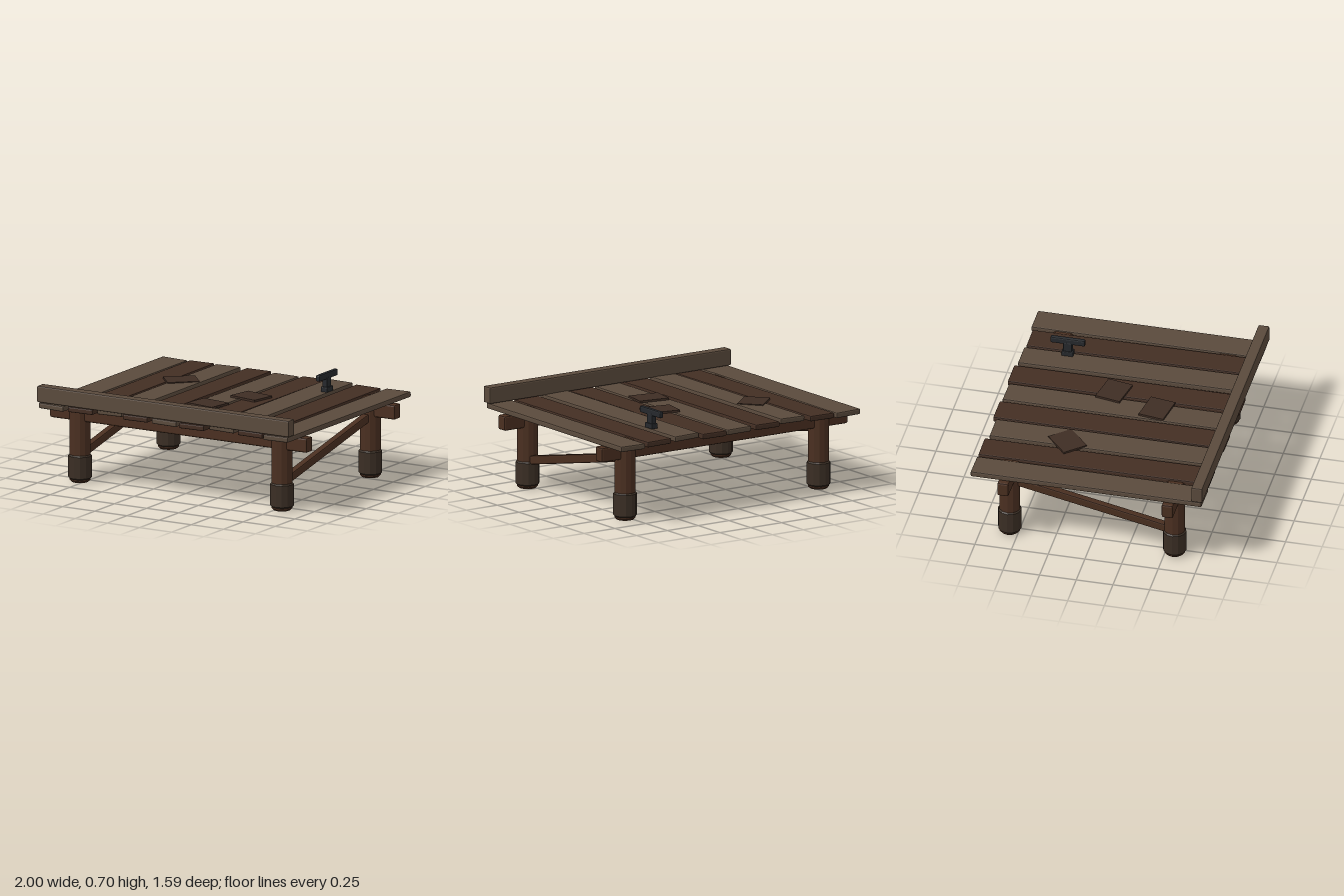
import * as THREE from 'three';
import { RoundedBoxGeometry } from 'three/addons/geometries/RoundedBoxGeometry.js';

const paint = (color) => new THREE.MeshStandardMaterial({ color, flatShading: true });
const lightWood = paint(0x5a4a3c);
const darkWood = paint(0x432e23);
const postWood = paint(0x4a2f20);
const wetWood = paint(0x3a2e24);
const patchWood = paint(0x3e2d24);
const iron = paint(0x25282c);

export function createModel() {
  const dock = new THREE.Group();
  dock.name = 'dock';

  const add = (name, geometry, material, x, y, z) => {
    const mesh = new THREE.Mesh(geometry, material);
    mesh.name = name;
    mesh.position.set(x, y, z);
    dock.add(mesh);
    return mesh;
  };
  // box with a narrow chamfer on every edge
  const block = (w, h, d, bevel = 0.009) => new RoundedBoxGeometry(w, h, d, 1, bevel);
  // faceted upright cylinder with chamfered ends
  const log = (r, y0, y1, c) => new THREE.LatheGeometry([
    [0, y0], [r - c, y0], [r, y0 + c], [r, y1 - c], [r - c, y1], [0, y1],
  ].map(([x, y]) => new THREE.Vector2(x, y)), 12);

  // deck planks: x, height of centre, half length, yaw, roll
  const planks = [
    [-0.873, 0.537, 0.788, -0.003, -0.02],
    [-0.655, 0.54, 0.785, 0.006, 0.01],
    [-0.437, 0.547, 0.76, 0, 0.02],
    [-0.219, 0.541, 0.787, -0.003, 0.01],
    [0, 0.537, 0.775, -0.006, -0.01],
    [0.217, 0.538, 0.79, 0, 0.01],
    [0.434, 0.548, 0.77, 0.008, -0.02],
    [0.653, 0.538, 0.765, 0.007, -0.01],
    [0.87, 0.537, 0.782, -0.003, 0.015],
  ];
  planks.forEach(([x, y, half, yaw, roll], i) => {
    const plank = add('plank', block(0.194, 0.038, half * 2), i % 2 ? darkWood : lightWood, x, y, 0);
    plank.rotation.set(0, yaw, roll);
  });

  // raised kerb along the front edge
  add('kerb', block(1.96, 0.112, 0.076), lightWood, 0, 0.617, 0.757);

  // cross beams under the deck
  for (const z of [-0.56, 0.56]) {
    add('crossBeam', block(2, 0.1, 0.078, 0.012), postWood, 0, 0.467, z);
  }

  // posts with thicker sleeves at the foot
  const postGeometry = log(0.07, 0, 0.545, 0.012);
  const sleeveGeometry = log(0.079, 0.02, 0.187, 0.01);
  for (const x of [-0.785, 0.785]) {
    for (const z of [-0.562, 0.562]) {
      add('post', postGeometry, postWood, x, 0, z);
      add('postSleeve', sleeveGeometry, wetWood, x, 0, z);
    }
    // slanting brace, low at the front and high at the back
    const brace = add('brace', block(0.05, 0.058, 1.13), postWood, x, 0.303, 0);
    brace.rotation.x = Math.atan2(0.21, 1);
  }

  // repair patches lying on the deck: x, z, yaw
  for (const [x, z, yaw] of [[-0.487, -0.238, 0.73], [0.158, -0.073, -0.19], [0.02, 0.252, -0.16]]) {
    const patch = add('patch', new THREE.BoxGeometry(0.216, 0.014, 0.175), patchWood, x, 0.565, z);
    patch.rotation.y = yaw;
  }

  // iron mooring cleat
  add('cleatBase', block(0.052, 0.036, 0.08, 0.006), iron, 0.505, 0.582, -0.468);
  add('cleatStem', block(0.036, 0.09, 0.06, 0.006), iron, 0.505, 0.62, -0.468);
  add('cleatBar', block(0.032, 0.046, 0.237, 0.01), iron, 0.505, 0.674, -0.468);

  return dock;
}
